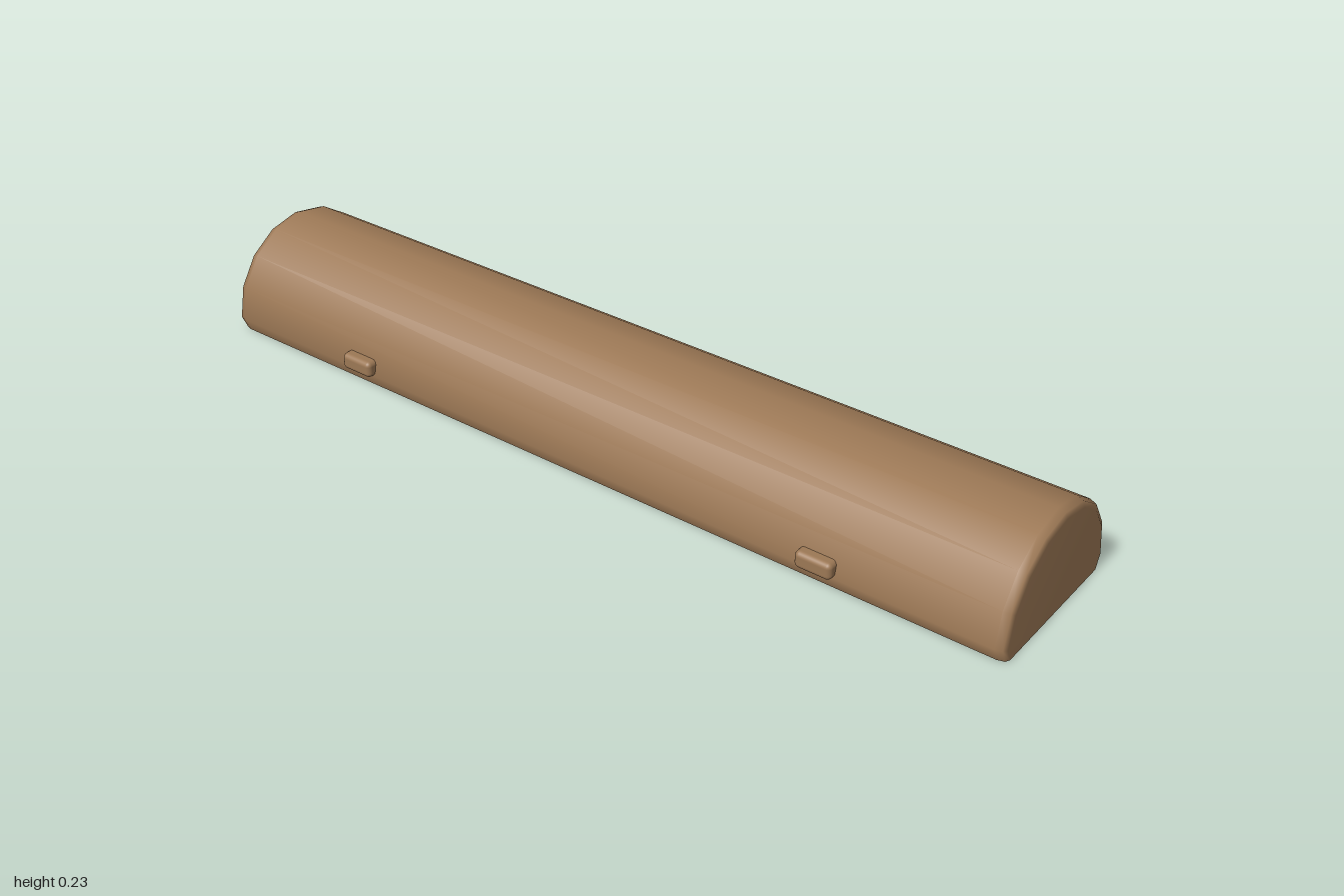
import * as THREE from 'three';
import { RoundedBoxGeometry } from 'three/addons/geometries/RoundedBoxGeometry.js';

// Arched cross-section: part of a 16-sided circle, cut off at the floor
function archProfile() {
  const points = [[0.185, 0]];
  for (let i = 0; i <= 8; i++) {
    const a = (i * Math.PI) / 8;
    points.push([0.2 * Math.cos(a), 0.033 + 0.2 * Math.sin(a)]);
  }
  points.push([-0.185, 0]);
  return points;
}

// Arch swept along z, with softened rims and closed ends
function archGeometry(profile) {
  const loops = [[1, 0.925], [0.995, 0.975], [0.98, 1], [-0.98, 1], [-0.995, 0.975], [-1, 0.925]];
  const n = profile.length;
  const positions = [];
  const index = [];
  for (const [z, s] of loops) for (const [x, y] of profile) positions.push(x * s, y * s, z);
  for (let l = 0; l < loops.length - 1; l++) {
    for (let i = 0; i < n - 1; i++) {
      const a = l * n + i, b = a + n;
      index.push(a, b, a + 1, b, b + 1, a + 1);
    }
  }
  const front = positions.length / 3, back = front + 1;
  positions.push(0, 0, 1, 0, 0, -1);
  const last = (loops.length - 1) * n;
  for (let i = 0; i < n - 1; i++) {
    index.push(front, i, i + 1);
    index.push(back, last + i + 1, last + i);
  }
  const g = new THREE.BufferGeometry();
  g.setAttribute('position', new THREE.Float32BufferAttribute(positions, 3));
  g.setIndex(index);
  g.computeVertexNormals();
  return g;
}

export function createModel() {
  const model = new THREE.Group();
  const brown = new THREE.MeshStandardMaterial({ color: 0x9c7855 });
  brown.name = 'warm brown';
  const add = (name, geometry) => {
    const mesh = new THREE.Mesh(geometry, brown);
    mesh.name = name;
    model.add(mesh);
    return mesh;
  };

  // Long arched body
  add('archedBody', archGeometry(archProfile()));

  // Flat underside with clipped corners
  const outline = new THREE.Shape();
  const corners = [[0.171, 1], [0.18, 0.995], [0.185, 0.98], [0.185, -0.98], [0.18, -0.995], [0.171, -1]];
  corners.forEach(([x, z], i) => (i ? outline.lineTo(x, z) : outline.moveTo(x, z)));
  corners.reverse().forEach(([x, z]) => outline.lineTo(-x, z));
  add('underside', new THREE.ShapeGeometry(outline).rotateX(Math.PI / 2));

  // Four small side pegs
  const peg = new RoundedBoxGeometry(0.05, 0.038, 0.083, 3, 0.011);
  for (const side of [-1, 1]) {
    for (const end of [-1, 1]) {
      add(`${side > 0 ? 'left' : 'right'}${end > 0 ? 'Front' : 'Back'}Peg`, peg)
        .position.set(side * 0.192, 0.052, end * 0.6);
    }
  }
  return model;
}
